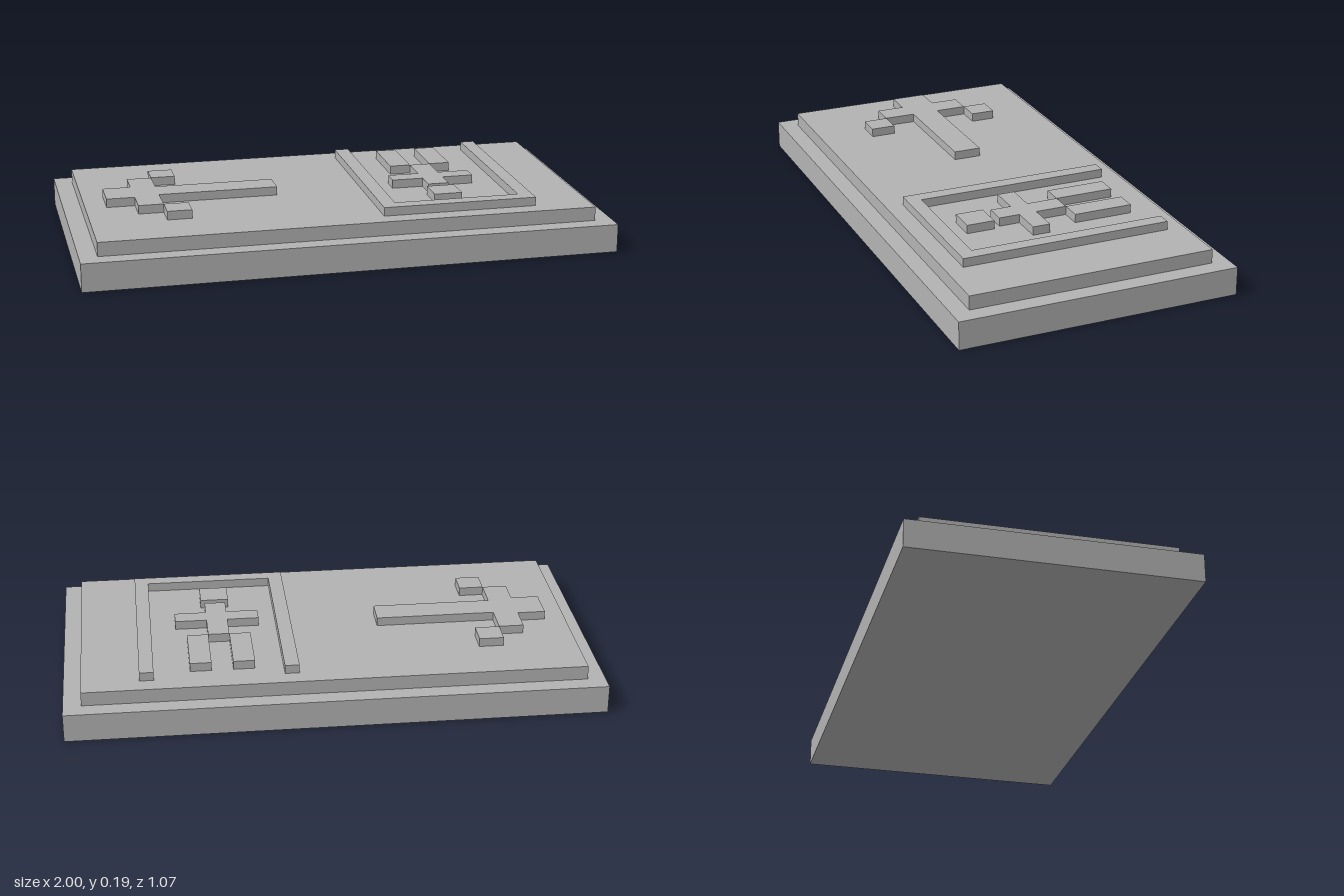
import * as THREE from 'three';

const stone = new THREE.MeshStandardMaterial({ color: 0xb3b3b3 });
stone.name = 'stone grey';

const BASE_TOP = 0.107, PANEL_TOP = 0.16, RELIEF_TOP = 0.193;

// Box given by its limits on each axis
function slab(name, x0, x1, z0, z1, y0 = PANEL_TOP, y1 = RELIEF_TOP) {
  const mesh = new THREE.Mesh(new THREE.BoxGeometry(x1 - x0, y1 - y0, z1 - z0), stone);
  mesh.position.set((x0 + x1) / 2, (y0 + y1) / 2, (z0 + z1) / 2);
  mesh.name = name;
  return mesh;
}

// Raised relief from an outline of [x, z] points
function relief(name, outline) {
  const shape = new THREE.Shape(outline.map(([x, z]) => new THREE.Vector2(x, -z)));
  const geometry = new THREE.ExtrudeGeometry(shape, { depth: RELIEF_TOP - PANEL_TOP, bevelEnabled: false });
  geometry.rotateX(-Math.PI / 2);
  const mesh = new THREE.Mesh(geometry, stone);
  mesh.position.y = PANEL_TOP;
  mesh.name = name;
  return mesh;
}

export function createModel() {
  const model = new THREE.Group();
  model.name = 'signPlate';

  // Stepped plate
  model.add(slab('base', -1, 1, -0.533, 0.533, 0, BASE_TOP));
  model.add(slab('panel', -0.933, 0.933, -0.467, 0.467, BASE_TOP, PANEL_TOP));

  // Arrow: half outline mirrored across its axis, plus two barb tips
  const arrow = new THREE.Group();
  arrow.name = 'arrow';
  const half = [[-0.2, 0.053], [-0.653, 0.053], [-0.653, 0.173], [-0.747, 0.173], [-0.747, 0.067], [-0.853, 0.067]];
  const mirrored = half.map(([x, z]) => [x, -z]).reverse();
  arrow.add(relief('arrowBody', [...half, ...mirrored]));
  arrow.add(slab('arrowBarbFront', -0.653, -0.56, 0.173, 0.267));
  arrow.add(slab('arrowBarbBack', -0.653, -0.56, -0.267, -0.173));
  model.add(arrow);

  // Doorway frame, open at the back
  model.add(relief('doorFrame', [
    [0.133, -0.4], [0.133, 0.4], [0.72, 0.4], [0.72, -0.4],
    [0.667, -0.4], [0.667, 0.347], [0.187, 0.347], [0.187, -0.4],
  ]));

  // Figure in the doorway
  const figure = new THREE.Group();
  figure.name = 'figure';
  figure.add(slab('head', 0.36, 0.467, 0.173, 0.28));
  figure.add(relief('torsoAndArms', [
    [0.373, -0.12], [0.373, 0], [0.253, 0], [0.253, 0.067], [0.373, 0.067], [0.373, 0.147],
    [0.453, 0.147], [0.453, 0.067], [0.573, 0.067], [0.573, 0], [0.453, 0], [0.453, -0.12],
  ]));
  figure.add(slab('rightLeg', 0.293, 0.373, -0.347, -0.12));
  figure.add(slab('leftLeg', 0.453, 0.533, -0.347, -0.12));
  model.add(figure);

  return model;
}
